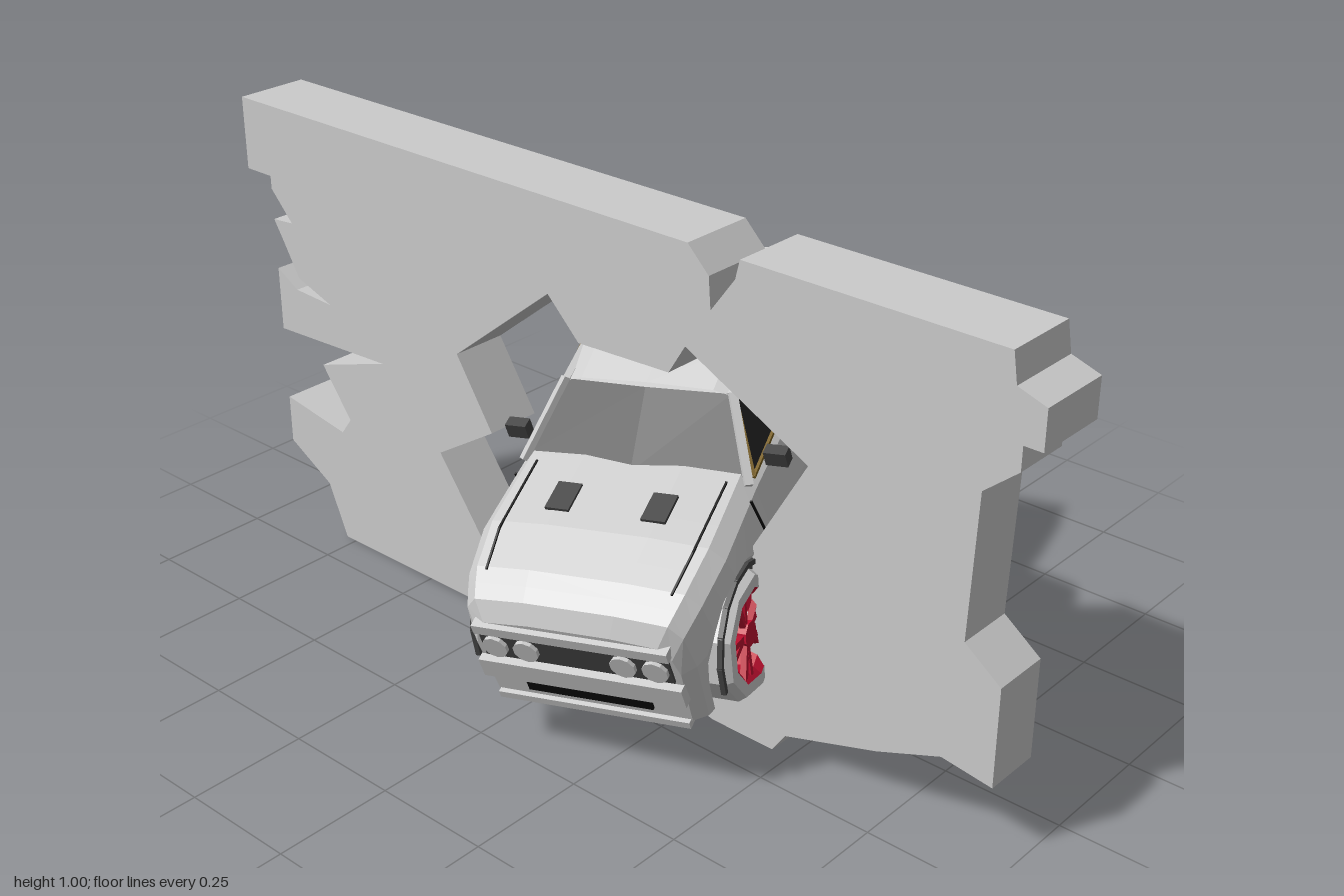
import * as THREE from 'three';

const mat = (color, extra = {}) =>
  new THREE.MeshStandardMaterial({ color, flatShading: true, side: THREE.DoubleSide, ...extra });
const grey = mat(0xcccccc), black = mat(0x0a0a0a), glass = mat(0x1c1c1c), dark = mat(0x444444);
const red = mat(0xc01030), yellow = mat(0xd8cc30), gold = mat(0x7a6020);

function add(parent, name, geometry, material) {
  const mesh = new THREE.Mesh(geometry, material);
  mesh.name = name;
  parent.add(mesh);
  return mesh;
}

// Faceted skin through a list of point rings
function loft(rings) {
  const n = rings[0].length, index = [];
  for (let i = 0; i < rings.length - 1; i++)
    for (let j = 0; j < n - 1; j++) {
      const a = i * n + j, b = a + n;
      index.push(a, b, a + 1, a + 1, b, b + 1);
    }
  const g = new THREE.BufferGeometry();
  g.setAttribute('position', new THREE.Float32BufferAttribute(rings.flat(2), 3));
  g.setIndex(index);
  const flat = g.toNonIndexed();
  flat.computeVertexNormals();
  return flat;
}

function box(parent, name, size, pos, material) {
  const m = add(parent, name, new THREE.BoxGeometry(...size), material);
  m.position.set(...pos);
  return m;
}

// Straight square bar between two points
function bar(parent, name, a, b, width, material) {
  const p = new THREE.Vector3(...a), q = new THREE.Vector3(...b);
  const m = add(parent, name, new THREE.BoxGeometry(width, width, p.distanceTo(q) + width * 0.6), material);
  m.position.copy(p).add(q).multiplyScalar(0.5);
  m.quaternion.setFromUnitVectors(new THREE.Vector3(0, 0, 1), q.sub(p).normalize());
  return m;
}

const path = (parent, name, pts, width, material) =>
  pts.slice(1).forEach((p, i) => bar(parent, name, pts[i], p, width, material));

// Slab from a (z, y) outline, reaching from x toward -x
function slab(outline, x, depth, hole) {
  const v = pts => pts.map(p => new THREE.Vector2(...p));
  const shape = new THREE.Shape(v(outline));
  if (hole) shape.holes.push(new THREE.Path(v(hole)));
  return new THREE.ExtrudeGeometry(shape, { depth, bevelEnabled: false }).rotateY(-Math.PI / 2).translate(x, 0, 0);
}

function createWall() {
  const wall = new THREE.Group();
  wall.name = 'brokenWall';
  const outline = [[0.95, 0.85], [0.95, 0.78], [0.88, 0.72], [0.87, 0.42], [0.95, 0.36], [0.95, 0.15], [0.84, 0.165],
    [0.7, 0.11], [0.49, 0.045], [0.46, 0], [0.31, 0], [0.075, 0.055], [-0.16, 0], [-0.78, 0], [-0.83, 0.12],
    [-0.95, 0.19], [-0.95, 0.3], [-0.77, 0.27], [-0.74, 0.31], [-0.82, 0.42], [-0.62, 0.485], [-0.95, 0.47],
    [-0.95, 0.615], [-0.89, 0.58], [-0.78, 0.575], [-0.88, 0.61], [-0.92, 0.68], [-0.95, 0.73], [-0.89, 0.735],
    [-0.95, 0.8], [-0.95, 0.85]];
  const hole = [[0.52, 0.64], [0.23, 0.785], [0.19, 0.72], [-0.04, 0.71], [-0.12, 0.79], [-0.385, 0.58],
    [-0.29, 0.43], [-0.45, 0.33], [-0.26, 0.065], [-0.11, 0.19], [-0.02, 0.25], [0.07, 0.25], [0.08, 0.205],
    [0.4, 0.265], [0.4, 0.43]];
  add(wall, 'wallPanel', slab(outline, -0.04, 0.125, hole), grey);
  const cap = [[1, 0.84], [1, 0.92], [0.94, 0.94], [0.93, 1], [0.37, 1], [0.36, 0.96], [0.305, 0.885], [0.3, 0.95],
    [0.25, 1], [-1, 1], [-1, 0.84]];
  add(wall, 'topBeam', slab(cap, -0.022, 0.162), grey);
  return wall;
}

const AXLE = 0.312;

function createWheel() {
  const wheel = new THREE.Group();
  wheel.name = 'wheel';
  const ring = pts => new THREE.LatheGeometry(pts.map(p => new THREE.Vector2(...p)), 9).rotateZ(-Math.PI / 2);
  add(wheel, 'tyre', ring([[0.096, -0.045], [0.118, -0.045], [0.128, -0.03], [0.128, 0.03], [0.118, 0.045], [0.094, 0.045]]), grey);
  add(wheel, 'rim', ring([[0.095, -0.045], [0.082, -0.02], [0.08, 0.03], [0.096, 0.045]]), red);
  add(wheel, 'hub', new THREE.CylinderGeometry(0.022, 0.026, 0.03, 8).rotateZ(Math.PI / 2), red).position.x = 0.022;
  for (let i = 0; i < 5; i++) {
    const a = i * Math.PI * 0.4;
    for (const d of [-0.16, 0.16])
      bar(wheel, 'spoke', [0.026, 0.016 * Math.cos(a), 0.016 * Math.sin(a)],
        [0.032, 0.085 * Math.cos(a + d), 0.085 * Math.sin(a + d)], 0.012, red);
  }
  return wheel;
}

// Car in its own frame: +z forward, +x left, y = 0 at the axles
function createCar() {
  const car = new THREE.Group();
  car.name = 'car';

  // Body skin: [z, half width, deck height, sill height]
  const keys = [[-0.53, 0.225, 0.2, -0.04], [-0.515, 0.238, 0.222, -0.06], [-0.47, 0.255, 0.232, -0.07],
    [-0.31, 0.272, 0.238, -0.06], [-0.1, 0.26, 0.232, -0.06], [0.13, 0.258, 0.23, -0.06], [0.31, 0.264, 0.228, -0.06],
    [0.42, 0.25, 0.212, -0.05], [0.475, 0.232, 0.19, -0.05], [0.5, 0.21, 0.155, -0.04]];
  const at = z => {
    let i = 0;
    while (i < keys.length - 2 && z > keys[i + 1][0]) i++;
    const [a, b] = [keys[i], keys[i + 1]], t = (z - a[0]) / (b[0] - a[0]);
    return a.map((v, k) => v + (b[k] - v) * t);
  };
  const R = 0.145, stations = keys.map(k => k[0]).filter(z => Math.abs(Math.abs(z) - AXLE) > R);
  for (const s of [-1, 1]) {
    for (let i = 0; i <= 8; i++) stations.push(s * AXLE + R * Math.cos(i * Math.PI / 8));
    stations.push(s * AXLE + R + 0.001, s * AXLE - R - 0.001);
  }
  stations.sort((a, b) => a - b);
  const section = z => {
    const [, w, t, sill] = at(z);
    const off = Math.abs(Math.abs(z) - AXLE);
    const low = off <= R ? Math.sqrt(Math.max(R * R - off * off, 0)) : sill;
    const half = [[w * 0.965, low], [w, Math.max(0.09, low + 0.015)], [w * 0.955, t - 0.028], [w * 0.85, t], [w * 0.4, t + 0.008]];
    return [...half.map(([x, y]) => [x, y, z]), ...half.reverse().map(([x, y]) => [-x, y, z])];
  };
  const rings = stations.map(section);
  const close = ring => ring.map(([, y, z]) => [0, y, z]);
  add(car, 'bodyShell', loft([close(rings[0]), ...rings, close(rings.at(-1))]), grey);

  // Underside
  box(car, 'floor', [0.5, 0.012, 0.33], [0, -0.056, 0], black);
  box(car, 'chassis', [0.33, 0.16, 0.96], [0, 0.02, -0.015], black);
  box(car, 'rearFloor', [0.45, 0.012, 0.07], [0, -0.056, -0.485], black);
  box(car, 'frontFloor', [0.4, 0.012, 0.04], [0, -0.042, 0.475], black);

  // Roof, windscreen and rear window
  add(car, 'roof', loft([[0.005, 0.322], [-0.09, 0.336], [-0.18, 0.338], [-0.255, 0.325]].map(([z, y]) =>
    [[0.178, y - 0.008, z], [0.14, y + 0.004, z], [0, y + 0.008, z], [-0.14, y + 0.004, z], [-0.178, y - 0.008, z]])), grey);
  add(car, 'windscreen', loft([[0.235, 0.224, 0.13, 0.15], [0.175, 0.318, 0.003, 0.012]].map(([x, y, z, mid]) =>
    [[x, y, z], [0, y + 0.006, mid], [-x, y, z]])), glass);
  add(car, 'rearWindow', loft([[[0.14, 0.325, -0.25], [-0.14, 0.325, -0.25]], [[0.18, 0.238, -0.43], [-0.18, 0.238, -0.43]]]), glass);

  for (const s of [1, -1]) {
    const side = new THREE.Group();
    side.name = s > 0 ? 'leftSide' : 'rightSide';
    car.add(side);
    const m = pts => pts.map(([x, y, z]) => [s * x, y, z]);
    const belt = [0.24, 0.22, 0.115], top = [0.18, 0.312, 0], topRear = [0.178, 0.325, -0.17], tip = [0.236, 0.238, -0.245];
    add(side, 'sideWindow', loft([m([belt, tip]), m([top, topRear])]), glass);
    path(side, 'windowTrim', m([belt, top, [0.18, 0.324, -0.1], topRear, tip, belt]), 0.007, gold);
    bar(side, 'windscreenPillar', ...m([[0.236, 0.22, 0.135], [0.178, 0.316, 0.005]]), 0.016, grey);
    bar(side, 'roofRail', ...m([[0.176, 0.316, 0], [0.174, 0.328, -0.19]]), 0.014, grey);
    add(side, 'rearPillar', loft([m([topRear, [0.178, 0.32, -0.255]]), m([tip, [0.232, 0.226, -0.46]])]), grey);
    add(side, 'rearPillarTop', loft([m([[0.178, 0.32, -0.255], [0.14, 0.329, -0.25]]), m([[0.232, 0.228, -0.46], [0.18, 0.24, -0.43]])]), grey);

    // Door lines, handle, sill and mirror
    for (const z of [-0.125, 0.155])
      path(side, 'doorSeam', m([[0.253, -0.05, z], [0.262, 0.09, z], [0.249, 0.204, z + 0.01]]), 0.004, black);
    bar(side, 'doorSeam', ...m([[0.253, -0.045, -0.125], [0.253, -0.045, 0.155]]), 0.004, black);
    box(side, 'doorHandle', [0.008, 0.012, 0.035], [s * 0.256, 0.165, -0.09], dark);
    box(side, 'sill', [0.02, 0.018, 0.32], [s * 0.246, -0.058, 0], grey);
    box(side, 'mirror', [0.045, 0.032, 0.025], [s * 0.275, 0.235, 0.07], dark);

    // Wheels and arch lips
    for (const z of [-AXLE, AXLE]) {
      const wheel = createWheel();
      wheel.position.set(s * 0.222, 0, z);
      wheel.scale.x = s;
      side.add(wheel);
      const lip = [];
      for (let i = 0; i <= 8; i++)
        lip.push([s * 0.258, 0.143 * Math.sin(i * Math.PI / 8), z + 0.143 * Math.cos(i * Math.PI / 8)]);
      path(side, 'archLip', lip, 0.01, dark);
    }

    // Lights, hood scoop and exhaust
    for (const x of [0.1, 0.165])
      add(side, 'headlight', new THREE.CylinderGeometry(0.026, 0.026, 0.02, 10).rotateX(Math.PI / 2), grey)
        .position.set(s * x, 0.1, 0.503);
    box(side, 'hoodScoop', [0.05, 0.008, 0.07], [s * 0.1, 0.238, 0.24], dark);
    path(side, 'hoodSeam', m([[0.2, 0.232, 0.15], [0.2, 0.23, 0.33], [0.19, 0.215, 0.42]]), 0.004, black);
    box(side, 'tailLight', [0.19, 0.03, 0.012], [s * 0.105, 0.135, -0.53], dark);
    box(side, 'exhaustSurround', [0.075, 0.03, 0.02], [s * 0.135, -0.03, -0.532], black);
    for (const x of [0.118, 0.152])
      box(side, 'exhaustTip', [0.022, 0.016, 0.025], [s * x, -0.03, -0.536], grey);
  }

  // Nose and tail
  box(car, 'grille', [0.39, 0.062, 0.01], [0, 0.1, 0.5], dark);
  box(car, 'noseBar', [0.4, 0.022, 0.04], [0, 0.144, 0.492], grey);
  box(car, 'frontBumper', [0.42, 0.045, 0.04], [0, 0.04, 0.497], grey);
  box(car, 'lowerIntake', [0.26, 0.03, 0.012], [0, -0.005, 0.5], black);
  box(car, 'chinSpoiler', [0.4, 0.016, 0.05], [0, -0.045, 0.485], grey);
  box(car, 'trunkLip', [0.44, 0.016, 0.035], [0, 0.222, -0.515], grey);
  box(car, 'rearBumper', [0.46, 0.075, 0.04], [0, 0.04, -0.518], grey);
  box(car, 'bumperSeam', [0.45, 0.005, 0.012], [0, 0.09, -0.53], black);
  box(car, 'numberPlate', [0.11, 0.062, 0.008], [0, 0.04, -0.542], yellow);
  return car;
}

export function createModel() {
  const model = new THREE.Group();
  model.name = 'carThroughWall';
  const car = createCar();
  // Nose down, turned and rolled
  car.rotation.set(0.332, -1.239, 0.11, 'YXZ');
  car.position.set(0.005, 0.34, 0.085);
  model.add(createWall(), car);
  return model;
}
